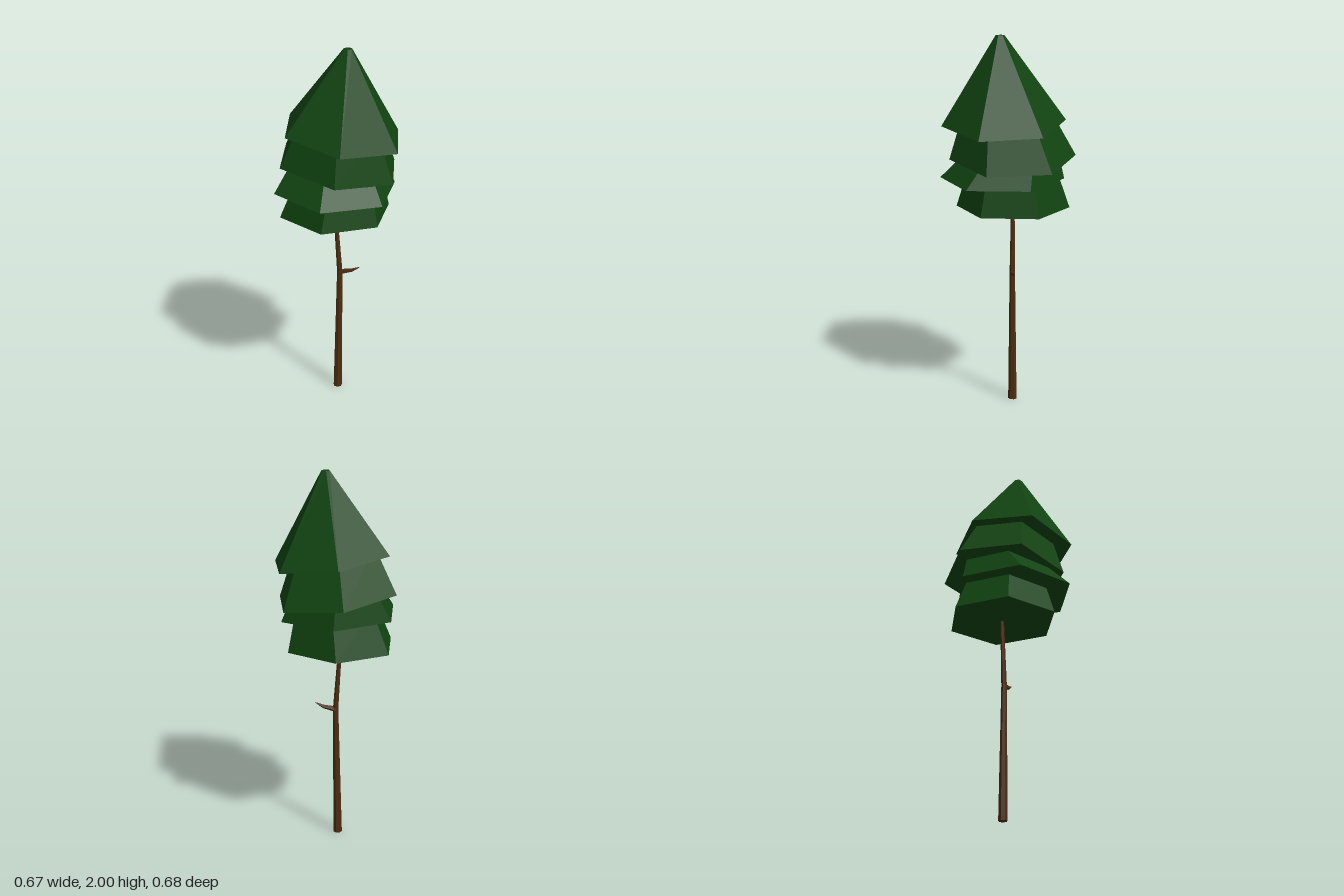
import * as THREE from 'three';

const foliage = new THREE.MeshStandardMaterial({ color: 0x114411 });
foliage.name = 'dark green foliage';
foliage.flatShading = true;
const bark = new THREE.MeshStandardMaterial({ color: 0x4d2d10 });
bark.name = 'brown bark';
bark.flatShading = true;

// Six-sided frustum with a leaning axis and a tilted rim.
// base and top are ring centres, slope is the rise of the rim along x and z.
function tier({ name, base, r, angle, top, topR, slope, topSlope = slope }) {
  const start = Math.PI / 2 - THREE.MathUtils.degToRad(angle);
  const geo = new THREE.CylinderGeometry(topR, r, 1, 6, 1, false, start).toNonIndexed();
  const p = geo.attributes.position;
  for (let i = 0; i < p.count; i++) {
    const upper = p.getY(i) > 0;
    const c = upper ? top : base;
    const s = upper ? topSlope : slope;
    const x = p.getX(i), z = p.getZ(i);
    p.setXYZ(i, c[0] + x, c[1] + s[0] * x + s[1] * z, c[2] + z);
  }
  geo.computeVertexNormals();
  const mesh = new THREE.Mesh(geo, foliage);
  mesh.name = name;
  return mesh;
}

// Tapered limb through a few rings [x, y, z, radius], each square to the limb's direction.
function limb(name, rings, sides) {
  const geo = new THREE.CylinderGeometry(1, 1, rings.length - 1, sides, rings.length - 1).toNonIndexed();
  const centres = rings.map(([x, y, z]) => new THREE.Vector3(x, y, z));
  const dir = centres[centres.length - 1].clone().sub(centres[0]).normalize();
  const turn = new THREE.Quaternion().setFromUnitVectors(new THREE.Vector3(0, 1, 0), dir);
  const p = geo.attributes.position;
  const v = new THREE.Vector3();
  for (let i = 0; i < p.count; i++) {
    const k = Math.round(p.getY(i) + (rings.length - 1) / 2);
    v.set(p.getX(i), 0, p.getZ(i)).multiplyScalar(rings[k][3]).applyQuaternion(turn).add(centres[k]);
    p.setXYZ(i, v.x, v.y, v.z);
  }
  geo.computeVertexNormals();
  const mesh = new THREE.Mesh(geo, bark);
  mesh.name = name;
  return mesh;
}

export function createModel() {
  const tree = new THREE.Group();
  tree.name = 'pineTree';

  // Slim bent trunk with one broken side branch
  tree.add(limb('trunk', [
    [-0.026, 0, -0.009, 0.024],
    [-0.017, 0.73, -0.016, 0.015],
    [-0.037, 1.1, 0, 0.01],
  ], 7));
  tree.add(limb('branchStub', [
    [-0.017, 0.727, -0.016, 0.016],
    [0.03, 0.742, -0.06, 0.01],
    [0.06, 0.764, -0.09, 0.002],
  ], 5));

  // Foliage tiers, bottom to top
  tree.add(tier({
    name: 'bottomFoliage', base: [-0.037, 1.09, 0], r: 0.3, angle: -10.5,
    top: [-0.017, 1.32, -0.014], topR: 0.225, slope: [0, 0],
  }));
  tree.add(tier({
    name: 'lowerFoliage', base: [0.011, 1.248, 0.033], r: 0.327, angle: -10.6,
    top: [-0.04, 1.42, -0.01], topR: 0.22, slope: [-0.02, 0.012],
  }));
  tree.add(tier({
    name: 'middleFoliage', base: [-0.024, 1.36, -0.012], r: 0.333, angle: -20.6,
    top: [0.01, 1.61, 0], topR: 0.225, slope: [-0.094, 0.091],
  }));
  tree.add(tier({
    name: 'topFoliage', base: [0.03, 1.547, 0], r: 0.325, angle: -21.5,
    top: [0.064, 2, -0.006], topR: 0.023, slope: [-0.107, 0.085], topSlope: [0, 0],
  }));

  return tree;
}
